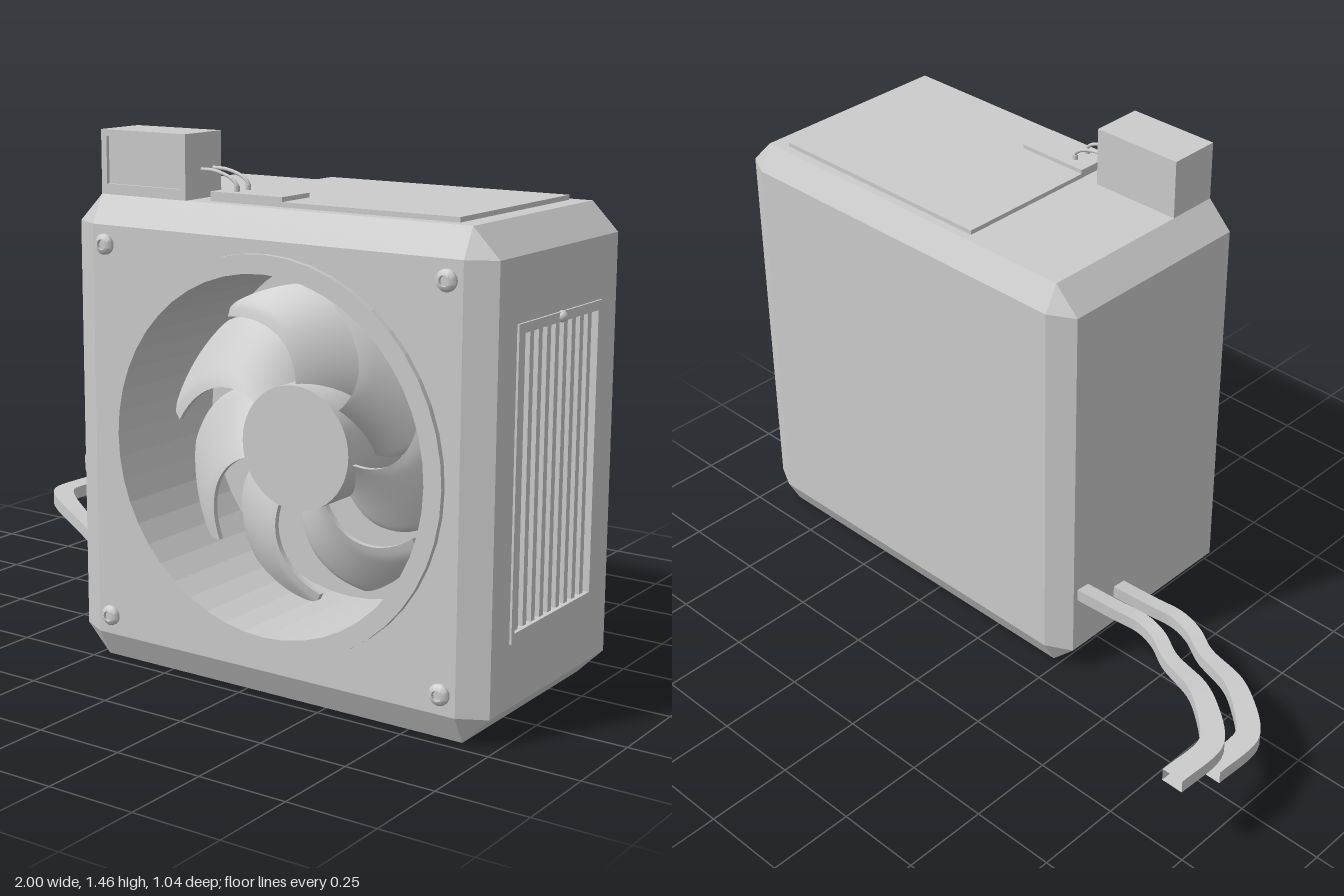
import * as THREE from 'three';
import { ConvexGeometry } from 'three/addons/geometries/ConvexGeometry.js';
import { toCreasedNormals } from 'three/addons/utils/BufferGeometryUtils.js';

const grey = new THREE.MeshStandardMaterial({ color: 0xcccccc });
const greyDouble = new THREE.MeshStandardMaterial({ color: 0xcccccc, side: THREE.DoubleSide });

const CX = 0.34, CY = 0.65; // fan axis

function add(parent, name, geometry, x = 0, y = 0, z = 0, material = grey) {
  const mesh = new THREE.Mesh(geometry, material);
  mesh.name = name;
  mesh.position.set(x, y, z);
  parent.add(mesh);
  return mesh;
}

// Box given by its limits
function block(parent, name, x0, x1, y0, y1, z0, z1) {
  return add(parent, name, new THREE.BoxGeometry(x1 - x0, y1 - y0, z1 - z0),
    (x0 + x1) / 2, (y0 + y1) / 2, (z0 + z1) / 2);
}

function rect(x0, x1, y0, y1, Type = THREE.Shape) {
  return new Type([[x0, y0], [x1, y0], [x1, y1], [x0, y1]].map(p => new THREE.Vector2(...p)));
}

function frame(outer, inner, depth) {
  const shape = rect(...outer);
  shape.holes.push(rect(...inner, THREE.Path));
  return depth ? new THREE.ExtrudeGeometry(shape, { depth, bevelEnabled: false }) : new THREE.ShapeGeometry(shape);
}

// Profile of [radius, z] turned around the z axis
function turned(profile, segments, crease) {
  const g = new THREE.LatheGeometry(profile.map(p => new THREE.Vector2(...p)), segments);
  return toCreasedNormals(g.rotateX(Math.PI / 2), crease);
}

// Chamfered shell without its front and right-hand (+x) faces
function shellGeometry() {
  const points = [];
  const half = [0.64, 0.642, 0.35], cut = [0.075, 0.076, 0.04], mid = [CX, 0.642, 0.15];
  for (const sx of [-1, 1]) for (const sy of [-1, 1]) for (const sz of [-1, 1])
    for (let axis = 0; axis < 3; axis++)
      points.push(new THREE.Vector3(...[sx, sy, sz].map(
        (s, i) => mid[i] + s * (half[i] - (i === axis ? 0 : cut[i])))));
  const p = new ConvexGeometry(points).getAttribute('position');
  const kept = [];
  for (let i = 0; i < p.count; i += 3) {
    const tri = [i, i + 1, i + 2];
    if (tri.every(k => p.getZ(k) > 0.499) || tri.every(k => p.getX(k) > 0.979)) continue;
    for (const k of tri) kept.push(p.getX(k), p.getY(k), p.getZ(k));
  }
  const g = new THREE.BufferGeometry();
  g.setAttribute('position', new THREE.Float32BufferAttribute(kept, 3));
  g.computeVertexNormals();
  return g;
}

// Swept, pitched blade: box bent into polar coordinates, clockwise along its x
function bladeGeometry() {
  const g = new THREE.BoxGeometry(1, 1, 1, 20, 20, 1);
  const p = g.getAttribute('position');
  for (let i = 0; i < p.count; i++) {
    const u = -p.getX(i), t = p.getY(i) + 0.5;
    const round = Math.pow(Math.abs(2 * u), 12) * 0.025;
    const r = 0.15 + t * (0.27 - round);
    const a = 0.31 + 0.59 * Math.pow(t, 2.2) + u * (0.87 - 0.08 * t);
    const z = 0.29 + u * 0.11 + p.getZ(i) * 0.016;
    p.setXYZ(i, r * Math.cos(a), r * Math.sin(a), z);
  }
  g.computeVertexNormals();
  return g;
}

// Open rectangular pipe following a path
function pipeGeometry(path) {
  const curve = new THREE.CatmullRomCurve3(path.map(p => new THREE.Vector3(...p)));
  const g = new THREE.BoxGeometry(1, 1, 1, 56, 1, 1);
  g.setIndex([...g.index.array].slice(12)); // leave both ends open
  g.clearGroups();
  const p = g.getAttribute('position');
  for (let i = 0; i < p.count; i++) {
    const t = p.getX(i) + 0.5;
    const c = curve.getPointAt(t), d = curve.getTangentAt(t);
    const side = new THREE.Vector3(-d.z, 0, d.x).normalize();
    const width = 0.042 + 0.023 * THREE.MathUtils.smoothstep(t, 0.35, 0.85);
    c.addScaledVector(side, p.getZ(i) * width);
    p.setXYZ(i, c.x, c.y + p.getY(i) * 0.038, c.z);
  }
  g.computeVertexNormals();
  return g;
}

export function createModel() {
  const model = new THREE.Group();
  model.name = 'fanUnit';

  // Housing
  add(model, 'housingShell', shellGeometry());
  const front = rect(-0.225, 0.905, 0.076, 1.208);
  front.holes.push(new THREE.Path().absarc(CX, CY, 0.5, 0, Math.PI * 2, true));
  add(model, 'frontPanel', new THREE.ShapeGeometry(front, 32), 0, 0, 0.5);
  const opening = [-0.355, 0.05, 0.27, 1.02];
  add(model, 'sidePanel', frame([-0.46, 0.16, 0.076, 1.208], opening).rotateY(Math.PI / 2), 0.98);

  // Fan duct with raised rim
  add(model, 'fanDuct', turned([[0, 0.1], [0.475, 0.1], [0.475, 0.516], [0.525, 0.516], [0.525, 0.5]], 48, 0.1),
    CX, CY, 0, greyDouble);

  // Fan
  const fan = new THREE.Group();
  fan.name = 'fan';
  fan.position.set(CX, CY, 0);
  model.add(fan);
  add(fan, 'hub', new THREE.CylinderGeometry(0.167, 0.167, 0.275, 48).rotateX(Math.PI / 2), 0, 0, 0.2375);
  const blade = bladeGeometry();
  for (let i = 0; i < 7; i++)
    add(fan, 'blade', blade).rotation.z = (i / 7) * Math.PI * 2;

  // Corner screws with sunken sockets
  const screw = turned([[0.028, 0], [0.028, 0.008], [0.022, 0.015], [0.014, 0.018], [0.013, 0.01], [0, 0.01]], 20, 0.6);
  for (const x of [-0.183, 0.862]) for (const y of [0.13, 1.157])
    add(model, 'screw', screw, x, y, 0.5, greyDouble);

  // Side vent: recess, frame, slats and knob
  const vent = new THREE.Group();
  vent.name = 'sideVent';
  model.add(vent);
  const recess = new THREE.BoxGeometry(0.08, 0.75, 0.405);
  recess.setIndex([...recess.index.array].slice(6)); // open outward side
  recess.clearGroups();
  add(vent, 'ventRecess', recess, 0.94, 0.645, 0.1525, greyDouble);
  add(vent, 'ventFrame', frame([-0.37, 0.07, 0.245, 1.045], opening, 0.006).rotateY(Math.PI / 2), 0.98);
  for (let i = 0; i < 9; i++)
    add(vent, 'ventSlat', new THREE.BoxGeometry(0.04, 0.75, 0.02), 0.955, 0.645, 0.1525 + (i - 4) * 0.044);
  add(vent, 'ventKnob', new THREE.SphereGeometry(0.015, 16, 12), 0.985, 1.033, 0.15);

  // Top lid and socket plate
  block(model, 'topLid', 0.11, 0.85, 1.275, 1.297, -0.135, 0.425);
  block(model, 'socketPlate', 0.11, 0.335, 1.28, 1.309, 0.303, 0.425);

  // Control box with framed display
  const control = new THREE.Group();
  control.name = 'controlBox';
  model.add(control);
  block(control, 'controlCase', -0.225, 0.055, 1.28, 1.455, 0.306, 0.45);
  add(control, 'displayFrame', frame([-0.225, 0.055, 1.28, 1.455], [-0.207, 0.037, 1.312, 1.437], 0.01), 0, 0, 0.45);

  // Wires from control box to socket plate
  for (const z of [0.34, 0.39]) {
    const path = new THREE.CatmullRomCurve3([[0.05, 1.36], [0.1, 1.358], [0.15, 1.342], [0.168, 1.325], [0.168, 1.305]]
      .map(([x, y]) => new THREE.Vector3(x, y, z)));
    add(control, 'wire', new THREE.TubeGeometry(path, 24, 0.005, 8));
    add(control, 'plug', new THREE.CylinderGeometry(0.008, 0.008, 0.016, 10), 0.168, 1.316, z);
  }

  // Two parallel outlet pipes
  const route = [[-0.29, 0.276, -0.125], [-0.4, 0.245, -0.09], [-0.48, 0.23, -0.07], [-0.55, 0.226, -0.085],
    [-0.64, 0.235, -0.14], [-0.8, 0.275, -0.215], [-0.87, 0.279, -0.262], [-0.945, 0.279, -0.33],
    [-0.967, 0.279, -0.37], [-0.967, 0.279, -0.517]];
  for (const [name, dy, dz] of [['upperPipe', 0, 0], ['lowerPipe', -0.083, 0.157]])
    add(model, name, pipeGeometry(route.map(([x, y, z]) => [x, y + dy, z + dz])), 0, 0, 0, greyDouble);

  return model;
}
